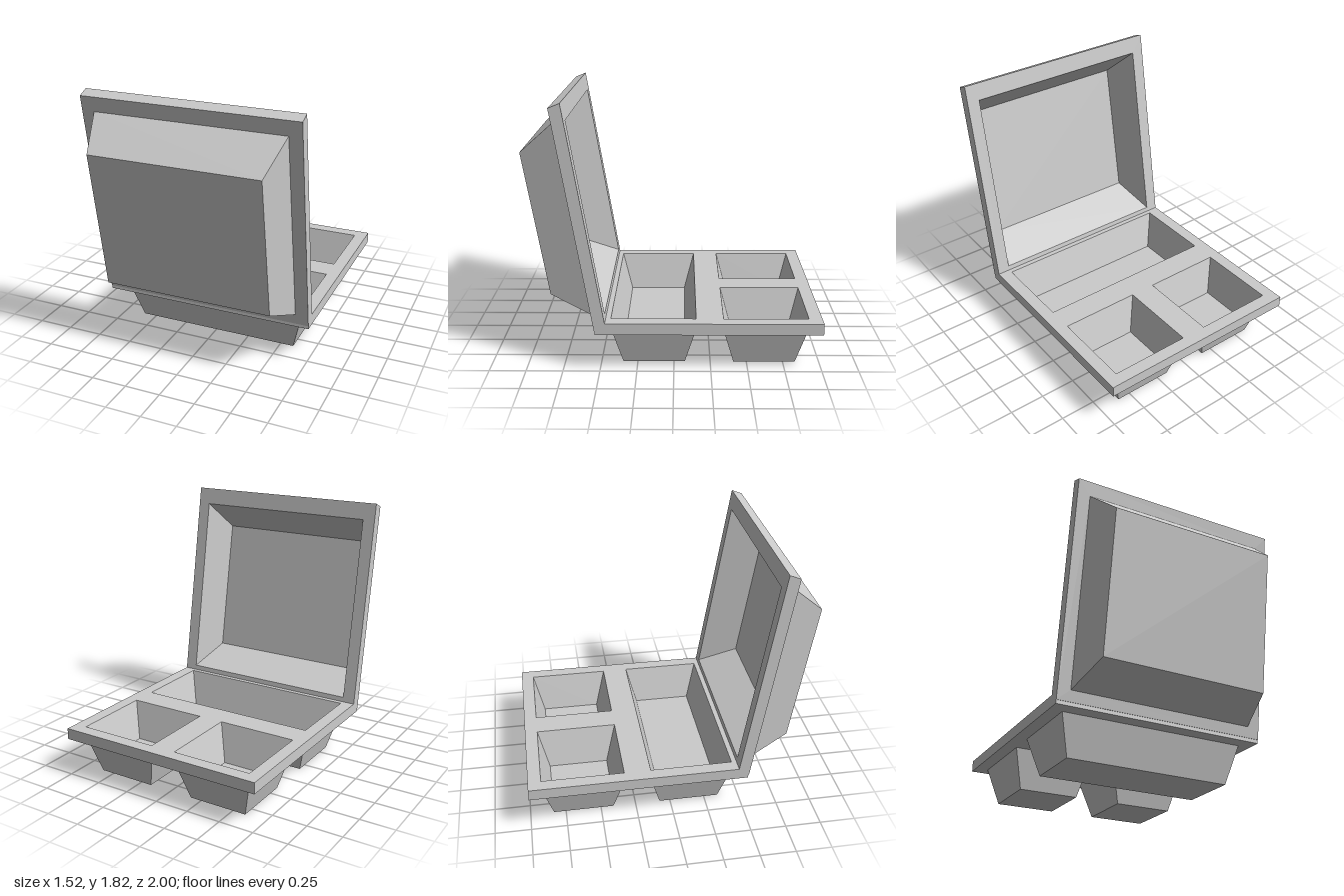
import * as THREE from 'three';

const THICK = 0.08;
const material = new THREE.MeshStandardMaterial({ color: 0xcccccc, flatShading: true });

// Corners of a rectangle [x0, x1, y0, y1] at height z, counter-clockwise seen from +z
const ring = ([x0, x1, y0, y1], z) => [[x0, y0, z], [x1, y0, z], [x1, y1, z], [x0, y1, z]];

// Tapered tray sunk towards -z: an inner and an outer skin, one thickness apart
function pocket(name, rect, insetX, insetY, depth) {
  const floor = [rect[0] + insetX, rect[1] - insetX, rect[2] + insetY, rect[3] - insetY];
  const points = [];
  const quad = (a, b, c, d) => points.push(...a, ...b, ...c, ...a, ...c, ...d);
  for (const inner of [false, true]) {
    const z = inner ? THICK : 0;
    const top = ring(rect, z);
    const low = ring(floor, z - depth);
    const face = (...corners) => quad(...(inner ? corners.reverse() : corners));
    for (let i = 0; i < 4; i++) {
      const j = (i + 1) % 4;
      face(top[i], low[i], low[j], top[j]);
    }
    face(low[3], low[2], low[1], low[0]);
  }
  const geometry = new THREE.BufferGeometry();
  geometry.setAttribute('position', new THREE.Float32BufferAttribute(points, 3));
  geometry.computeVertexNormals();
  const mesh = new THREE.Mesh(geometry, material);
  mesh.name = name;
  return mesh;
}

// Flat rim with a rectangular opening for each pocket
function rim(name, rect, openings) {
  const outline = (r) => ring(r, 0).map(([x, y]) => new THREE.Vector2(x, y));
  const shape = new THREE.Shape(outline(rect));
  for (const r of openings) shape.holes.push(new THREE.Path(outline(r)));
  const geometry = new THREE.ExtrudeGeometry(shape, { depth: THICK, bevelEnabled: false });
  const mesh = new THREE.Mesh(geometry, material);
  mesh.name = name;
  return mesh;
}

export function createModel() {
  const model = new THREE.Group();
  model.name = 'foodContainer';

  // Base tray: one wide compartment by the hinge and two small ones
  const base = new THREE.Group();
  base.name = 'base';
  const compartments = {
    largeCompartment: [-0.67, 0.67, -0.425, 0.15],
    leftCompartment: [0.093, 0.67, 0.335, 0.91],
    rightCompartment: [-0.67, -0.093, 0.335, 0.91],
  };
  base.add(rim('baseRim', [-0.76, 0.76, -0.527, 1], Object.values(compartments)));
  for (const [name, rect] of Object.entries(compartments)) {
    base.add(pocket(name, rect, 0.075, 0.075, 0.27));
  }
  base.rotation.x = -Math.PI / 2;
  base.position.y = 0.27;
  model.add(base);

  // Open lid, leaning outwards from the hinge
  const lid = new THREE.Group();
  lid.name = 'lid';
  const opening = [-0.67, 0.67, 0.077, 1.411];
  const height = 1.515;
  const lidRim = rim('lidRim', [-0.76, 0.76, 0, height], [opening]);
  // Slant the free edge a little
  const position = lidRim.geometry.attributes.position;
  for (let i = 0; i < position.count; i++) {
    if (position.getY(i) > height - 0.01 && position.getZ(i) > 0.01) position.setY(i, height + 0.018);
  }
  lidRim.geometry.computeVertexNormals();
  lid.add(lidRim, pocket('lidDome', opening, 0.075, 0.17, 0.267));
  lid.rotation.set(0.165, Math.PI, 0);
  lid.position.set(0, 0.295, 0.532);
  model.add(lid);

  return model;
}
